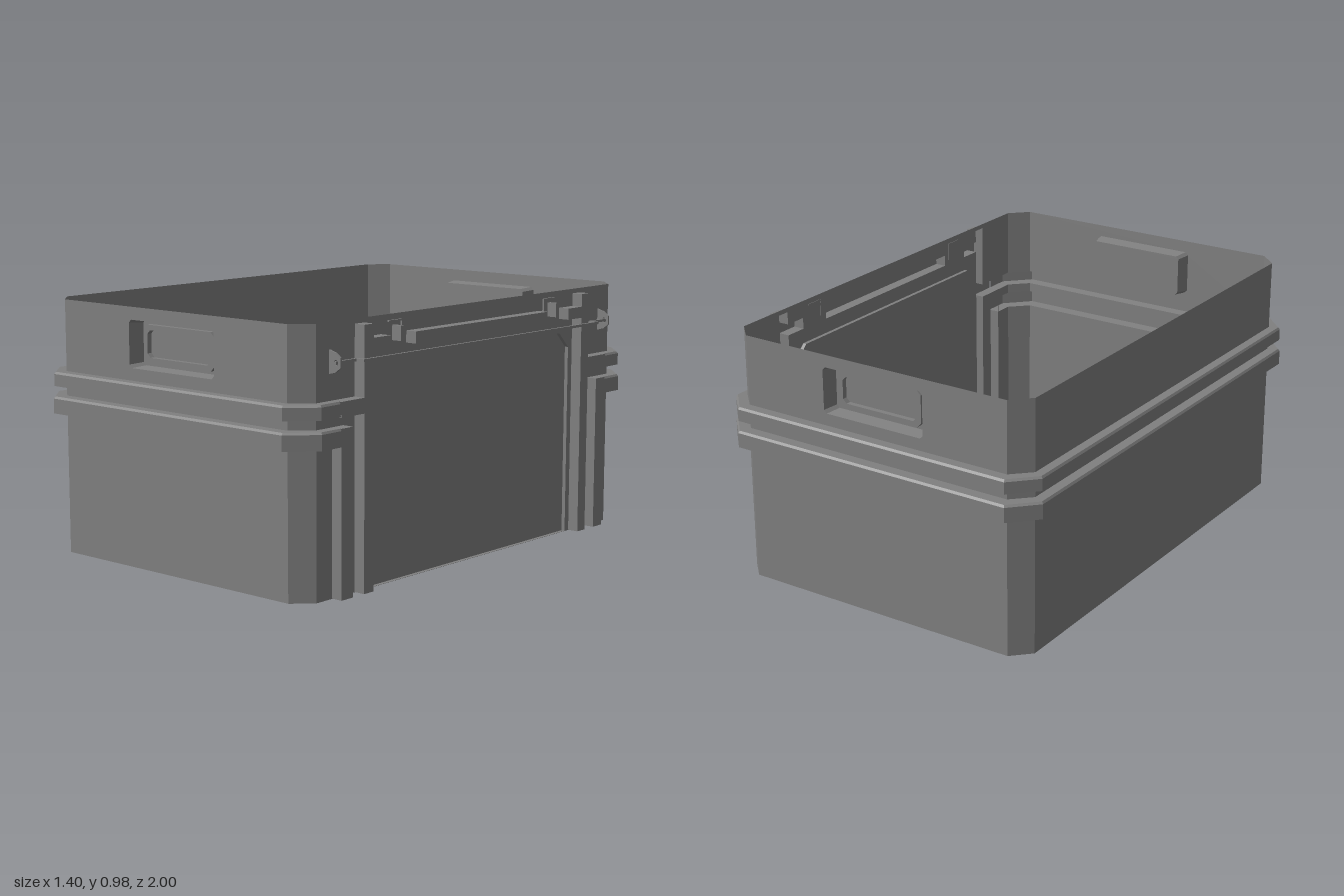
import * as THREE from 'three';

const grey = new THREE.MeshStandardMaterial({ color: 0x808080, side: THREE.DoubleSide });
grey.name = 'grey plastic';

const V2 = (p) => new THREE.Vector2(p[0], p[1]);

function flatGeometry(positions) {
  const g = new THREE.BufferGeometry();
  g.setAttribute('position', new THREE.Float32BufferAttribute(positions, 3));
  g.computeVertexNormals();
  return g;
}

function add(parent, name, geometry, x = 0, y = 0, z = 0) {
  const m = new THREE.Mesh(geometry, grey);
  m.name = name;
  m.position.set(x, y, z);
  parent.add(m);
  return m;
}

// Sheet panel in the xy plane; each pressing pushes a region out (+) or in (-)
function pressedPanel(name, outline, pressings) {
  const group = new THREE.Group();
  group.name = name;
  const sheet = new THREE.Shape(outline.map(V2));
  for (const { name: part, pts, depth, scale = 1, open = () => false } of pressings) {
    sheet.holes.push(new THREE.Path(pts.map(V2)));
    const box = new THREE.Box2().setFromPoints(pts.map(V2));
    const c = box.getCenter(new THREE.Vector2());
    const cap = pts.map(([x, y]) => [c.x + (x - c.x) * scale, c.y + (y - c.y) * scale]);
    const pos = [];
    const n = pts.length;
    for (let i = 0; i < n; i++) {
      const j = (i + 1) % n;
      if (open(pts[i], pts[j])) continue;
      const a = [...pts[i], 0], b = [...pts[j], 0], d = [...cap[i], depth], e = [...cap[j], depth];
      pos.push(...a, ...b, ...e, ...a, ...e, ...d);
    }
    add(group, part + 'Sides', flatGeometry(pos));
    add(group, part + 'Face', new THREE.ShapeGeometry(new THREE.Shape(cap.map(V2))), 0, 0, depth);
  }
  add(group, name + 'Sheet', new THREE.ShapeGeometry(sheet));
  return group;
}

const rect = (x0, x1, y0, y1) => [[x0, y0], [x1, y0], [x1, y1], [x0, y1]];

function chamferRect(x0, x1, y0, y1, c) {
  return [[x0 + c, y0], [x1 - c, y0], [x1, y0 + c], [x1, y1 - c],
    [x1 - c, y1], [x0 + c, y1], [x0, y1 - c], [x0, y0 + c]];
}

const H = 0.98, RIB = 0.045;

// Open outline of the crate, offset outwards by o; it starts and ends on the +x wall
function outlineAt(o) {
  const x = 0.9 * o, c = 0.4 * o;
  const half = [[0.63 + x, 0.8], [0.63 + x, 0.88 + c], [0.56 + c, 0.95 + o],
    [-0.59 - c, 0.95 + o], [-0.66 - x, 0.88 + c]];
  return [...half, ...half.slice().reverse().map(([px, pz]) => [px, -pz])];
}

// Wall shell with the two hollow bands; the upper end walls are left to the handle panels
function shell() {
  const profile = [[0, 0], [0.545, 0], [0.547, 0.05], [0.604, 0.05], [0.612, 0.043], [0.612, 0],
    [0.65, 0], [0.652, 0.046], [0.698, 0.046], [0.706, 0.039], [0.706, 0], [H, 0]];
  const pos = [];
  for (let k = 0; k < profile.length - 1; k++) {
    const [y0, o0] = profile[k], [y1, o1] = profile[k + 1];
    const lo = outlineAt(o0), hi = outlineAt(o1);
    for (let i = 0; i < lo.length - 1; i++) {
      if (k === profile.length - 2 && (i === 2 || i === 6)) continue;
      const a = [lo[i][0], y0, lo[i][1]], b = [lo[i + 1][0], y0, lo[i + 1][1]];
      const c = [hi[i + 1][0], y1, hi[i + 1][1]], d = [hi[i][0], y1, hi[i][1]];
      pos.push(...a, ...c, ...b, ...a, ...d, ...c);
    }
  }
  return flatGeometry(pos);
}

// End panel with an inward handle pocket and a raised ring on its floor
function handlePanel(name, side) {
  const mx = (pts) => pts.map(([x, y]) => [x * side, y]);
  const panel = pressedPanel(name, mx(rect(-0.59, 0.56, 0.706, H)), [
    { name: 'handlePocket', pts: mx(chamferRect(-0.235, 0.205, 0.753, 0.932, 0.012)), depth: -0.06, scale: 0.94 }]);
  const ring = new THREE.Shape(mx(chamferRect(-0.2, 0.167, 0.772, 0.914, 0.018)).map(V2));
  ring.holes.push(new THREE.Path(mx(chamferRect(-0.18, 0.147, 0.792, 0.894, 0.015)).map(V2)));
  add(panel, 'handleRing', new THREE.ExtrudeGeometry(ring, { depth: 0.02, bevelEnabled: false }), 0, 0, -0.06);
  panel.position.z = 0.95 * side;
  panel.rotation.y = side > 0 ? 0 : Math.PI;
  return panel;
}

// Long +x wall: door, posts, band ends and rail, all pressed from the sheet
function doorWall() {
  const y0 = 0.001;
  const pressings = [
    { name: 'door', depth: -0.015,
      pts: [[-0.605, y0], [0.605, y0], [0.605, 0.75], [0.545, 0.81], [-0.545, 0.81], [-0.605, 0.75]] },
    { name: 'topRail', depth: RIB, pts: rect(-0.4, 0.4, 0.868, 0.912) }];
  const open = (a, b) => Math.abs(a[0]) === 0.8 && Math.abs(b[0]) === 0.8 && a[1] + b[1] > 1.1;
  for (const s of [1, -1]) {
    const mx = (pts) => pts.map(([x, y]) => [x * s, y]);
    pressings.push(
      { name: 'bandLeg', depth: RIB, open,
        pts: mx([[0.74, y0], [0.8, y0], [0.8, 0.546], [0.8, 0.612], [0.74, 0.612]]) },
      { name: 'post', depth: RIB, open,
        pts: mx([[0.63, y0], [0.68, y0], [0.68, 0.65], [0.8, 0.65], [0.8, 0.706], [0.68, 0.706], [0.68, 0.962],
          [0.63, 0.962], [0.63, 0.912], [0.54, 0.912], [0.54, 0.868], [0.63, 0.868]]) });
  }
  const wall = pressedPanel('doorWall', rect(-0.801, 0.801, 0, H), pressings);
  wall.position.x = 0.63;
  wall.rotation.y = Math.PI / 2;
  return wall;
}

export function createModel() {
  const model = new THREE.Group();
  model.name = 'storageCrate';
  add(model, 'shell', shell());

  const floor = new THREE.ShapeGeometry(new THREE.Shape(outlineAt(0).map(V2)));
  floor.rotateX(Math.PI / 2);
  add(model, 'floor', floor);

  model.add(handlePanel('frontPanel', 1), handlePanel('backPanel', -1), doorWall());

  for (const s of [1, -1]) {
    // Pierced tab that carries the bail rod
    const tab = new THREE.Shape([[0.63, 0.8], [0.66, 0.808], [0.682, 0.825], [0.682, 0.86], [0.66, 0.876], [0.63, 0.885]].map(V2));
    tab.holes.push(new THREE.Path().absarc(0.662, 0.842, 0.01, 0, Math.PI * 2, true));
    add(model, 'rodTab', new THREE.ExtrudeGeometry(tab, { depth: 0.008, bevelEnabled: false }), 0, 0, s * 0.81 - 0.004);

    // Small latch fin and its bracket
    add(model, 'latchFin', new THREE.BoxGeometry(0.04, 0.055, 0.016), 0.65, 0.912, s * 0.47);
    add(model, 'latchBracketTop', new THREE.BoxGeometry(0.01, 0.006, 0.075), 0.633, 0.955, s * 0.467);
    add(model, 'latchBracketSide', new THREE.BoxGeometry(0.01, 0.07, 0.006), 0.633, 0.922, s * 0.43);

    // Rod ends: pin through the tab, then a crank out to the bail
    add(model, 'rodPin', new THREE.BoxGeometry(0.01, 0.01, 0.11), 0.662, 0.842, s * 0.765);
    add(model, 'rodCrank', new THREE.BoxGeometry(0.043, 0.01, 0.01), 0.6785, 0.842, s * 0.707);
  }
  add(model, 'bailRod', new THREE.BoxGeometry(0.01, 0.01, 1.424), 0.695, 0.842, 0);
  return model;
}
